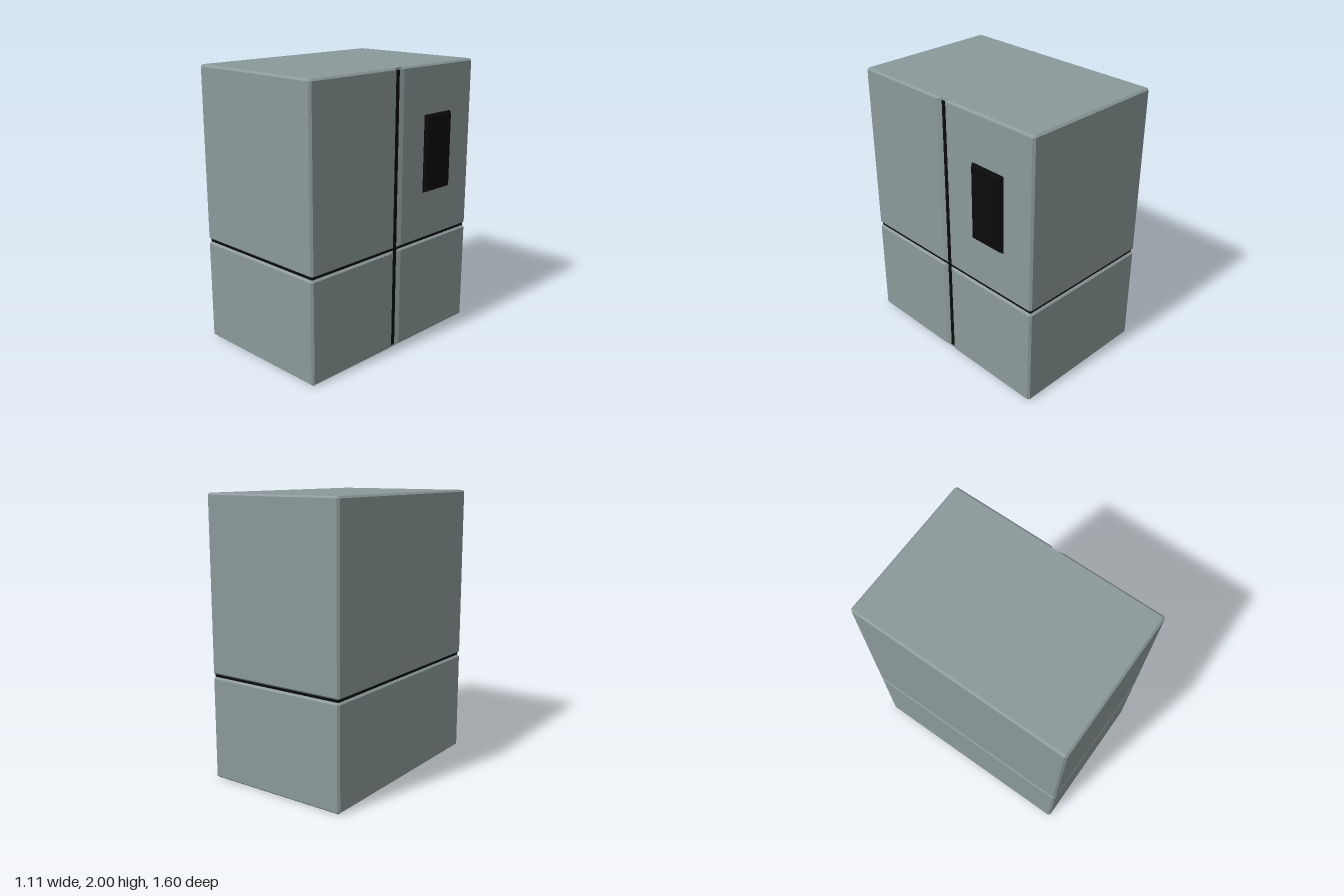
import * as THREE from 'three';

const LEFT = 0.53, RIGHT = -0.555, DEPTH = 0.8, BEVEL = 0.015;

const shell = new THREE.MeshStandardMaterial({ color: 0x8c9a9a, flatShading: true });
const black = new THREE.MeshStandardMaterial({ color: 0x0a0a0a, flatShading: true });

// Horizontal outline, counter-clockwise from above, with cut corners and a door notch on +x
function outline() {
  const b = BEVEL, X = LEFT, W = RIGHT, Z = DEPTH;
  return [
    [X, Z - b], [X, 0.05], [X - b, 0.015], [X - b, -0.015], [X, -0.05], [X, -Z + b],
    [X - b, -Z], [W + b, -Z], [W, -Z + b], [W, Z - b], [W + b, Z], [X - b, Z],
  ];
}

// Closed block: the outline between two heights, bevelled inward at both ends
function bevelledBlock(bottom, top, bevelHeight) {
  const outer = outline();
  const inner = outer.map(([x, z]) => [
    THREE.MathUtils.clamp(x, RIGHT + BEVEL, LEFT - BEVEL),
    THREE.MathUtils.clamp(z, -DEPTH + BEVEL, DEPTH - BEVEL),
  ]);
  const rings = [
    [inner, bottom], [outer, bottom + bevelHeight],
    [outer, top - bevelHeight], [inner, top],
  ];
  const n = outer.length, positions = [], index = [];
  for (const [ring, y] of rings) for (const [x, z] of ring) positions.push(x, y, z);
  for (let r = 0; r < rings.length - 1; r++) {
    for (let i = 0; i < n; i++) {
      const a = r * n + i, b = r * n + (i + 1) % n;
      index.push(a, b, b + n, a, b + n, a + n);
    }
  }
  // End caps as fans
  const low = rings.length * n, high = low + 1, last = (rings.length - 1) * n;
  positions.push(0, bottom, 0, 0, top, 0);
  for (let i = 0; i < n; i++) {
    const j = (i + 1) % n;
    index.push(low, j, i, high, last + i, last + j);
  }
  const indexed = new THREE.BufferGeometry();
  indexed.setAttribute('position', new THREE.Float32BufferAttribute(positions, 3));
  indexed.setIndex(index);
  const geometry = indexed.toNonIndexed();
  geometry.computeVertexNormals();
  return geometry;
}

// Box whose +x face is drawn in by a fixed margin
function taperedPanel(width, height, depth, margin) {
  const geometry = new THREE.BoxGeometry(width, height, depth);
  const p = geometry.attributes.position;
  for (let i = 0; i < p.count; i++) {
    if (p.getX(i) > 0) {
      p.setY(i, p.getY(i) - Math.sign(p.getY(i)) * margin);
      p.setZ(i, p.getZ(i) - Math.sign(p.getZ(i)) * margin);
    }
  }
  geometry.computeVertexNormals();
  return geometry;
}

export function createModel() {
  const model = new THREE.Group();
  model.name = 'refrigerator';
  const add = (name, geometry, material, x = 0, y = 0, z = 0) => {
    const mesh = new THREE.Mesh(geometry, material);
    mesh.name = name;
    mesh.position.set(x, y, z);
    model.add(mesh);
  };

  // Cabinet halves
  add('lowerCabinet', bevelledBlock(0, 0.739, 0.013), shell);
  add('upperCabinet', bevelledBlock(0.757, 2, 0.013), shell);

  // Dark seam running around the cabinet between the halves
  add('horizontalSeam',
    new THREE.BoxGeometry(LEFT - RIGHT - 2 * BEVEL, 0.018, 2 * (DEPTH - BEVEL)),
    black, (LEFT + RIGHT) / 2, 0.748, 0);

  // Dark strip between the doors
  add('doorSeam', new THREE.BoxGeometry(0.02, 1.966, 0.03), black, 0.508, 1, 0);

  // Dispenser panel on the rear door
  add('dispenserPanel', taperedPanel(0.035, 0.57, 0.296, 0.025), black, 0.5375, 1.377, -0.413);

  return model;
}
